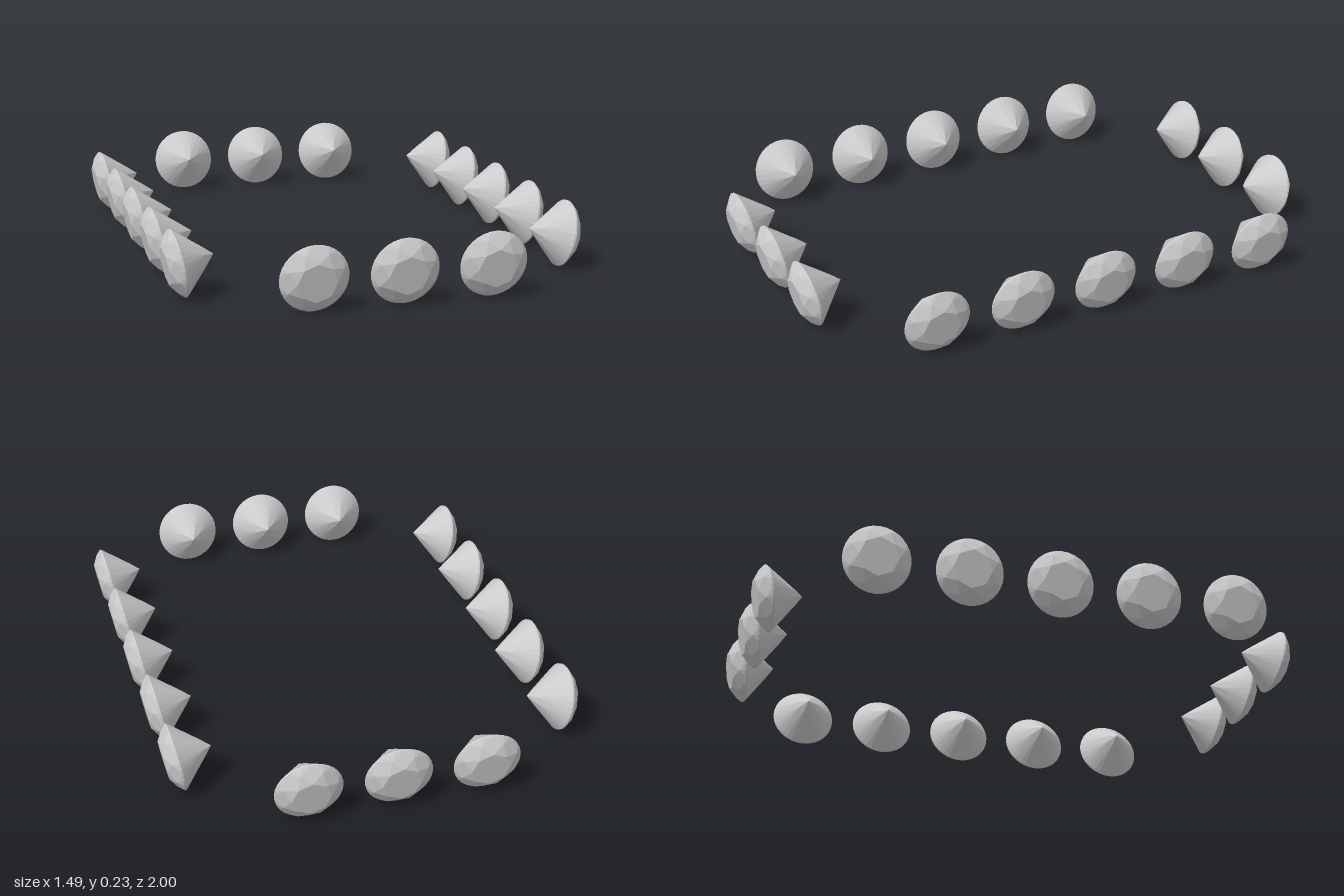
import * as THREE from 'three';

// Brilliant-cut gem: table faces +z, culet points to -z
function gemGeometry() {
  const R = 0.1175, g = 0.003, N = 8, SUB = 4;
  const positions = [];
  const at = (step, r, z) => {
    const a = (step / N) * Math.PI * 2;
    return [r * Math.cos(a), r * Math.sin(a), z];
  };
  const tri = (a, b, c) => positions.push(...a, ...b, ...c);

  const tableCentre = [0, 0, 0.042], culet = [0, 0, -0.125];
  const table = (i) => at(i, 0.068, 0.042);
  const star = (i) => at(i + 0.5, 0.1, 0.0228);
  const upper = (s) => at(s, R, g);
  const lower = (s) => at(s, R, -g);
  const pavilion = (i) => at(i + 0.5, 0.0318, -0.0945);

  for (let i = 0; i < N; i++) {
    tri(tableCentre, table(i), table(i + 1)); // table
    tri(table(i), star(i), table(i + 1)); // star facet
    tri(table(i), star(i - 1), upper(i)); // kite facet
    tri(table(i), upper(i), star(i));
    tri(culet, lower(i), pavilion(i - 1)); // pavilion main facet
    tri(culet, pavilion(i), lower(i));
    for (let k = 0; k < SUB; k++) {
      const a = i + k / SUB, b = i + (k + 1) / SUB;
      tri(star(i), upper(a), upper(b)); // upper girdle facets
      tri(upper(a), lower(a), lower(b)); // girdle band
      tri(upper(a), lower(b), upper(b));
      tri(pavilion(i), lower(b), lower(a)); // lower girdle facets
    }
  }
  const geometry = new THREE.BufferGeometry();
  geometry.setAttribute('position', new THREE.Float32BufferAttribute(positions, 3));
  geometry.computeVertexNormals();
  return geometry;
}

export function createModel() {
  const model = new THREE.Group();
  model.name = 'gemRing';
  const geometry = gemGeometry();
  const material = new THREE.MeshStandardMaterial({ color: 0xcccccc, flatShading: true });

  // One straight row of gems facing outward and tilted slightly down
  function addRow(name, count, spacing, distance, yaw) {
    const row = new THREE.Group();
    row.name = name;
    for (let i = 0; i < count; i++) {
      const gem = new THREE.Mesh(geometry, material);
      gem.name = 'gem';
      gem.position.set((i - (count - 1) / 2) * spacing, 0.119, distance);
      gem.rotation.x = 0.19;
      row.add(gem);
    }
    row.rotation.y = yaw;
    model.add(row);
  }

  addRow('frontGems', 3, 0.31, 0.946, 0);
  addRow('backGems', 3, 0.31, 0.946, Math.PI);
  addRow('leftGems', 5, 0.32, 0.691, Math.PI / 2);
  addRow('rightGems', 5, 0.32, 0.691, -Math.PI / 2);
  return model;
}
